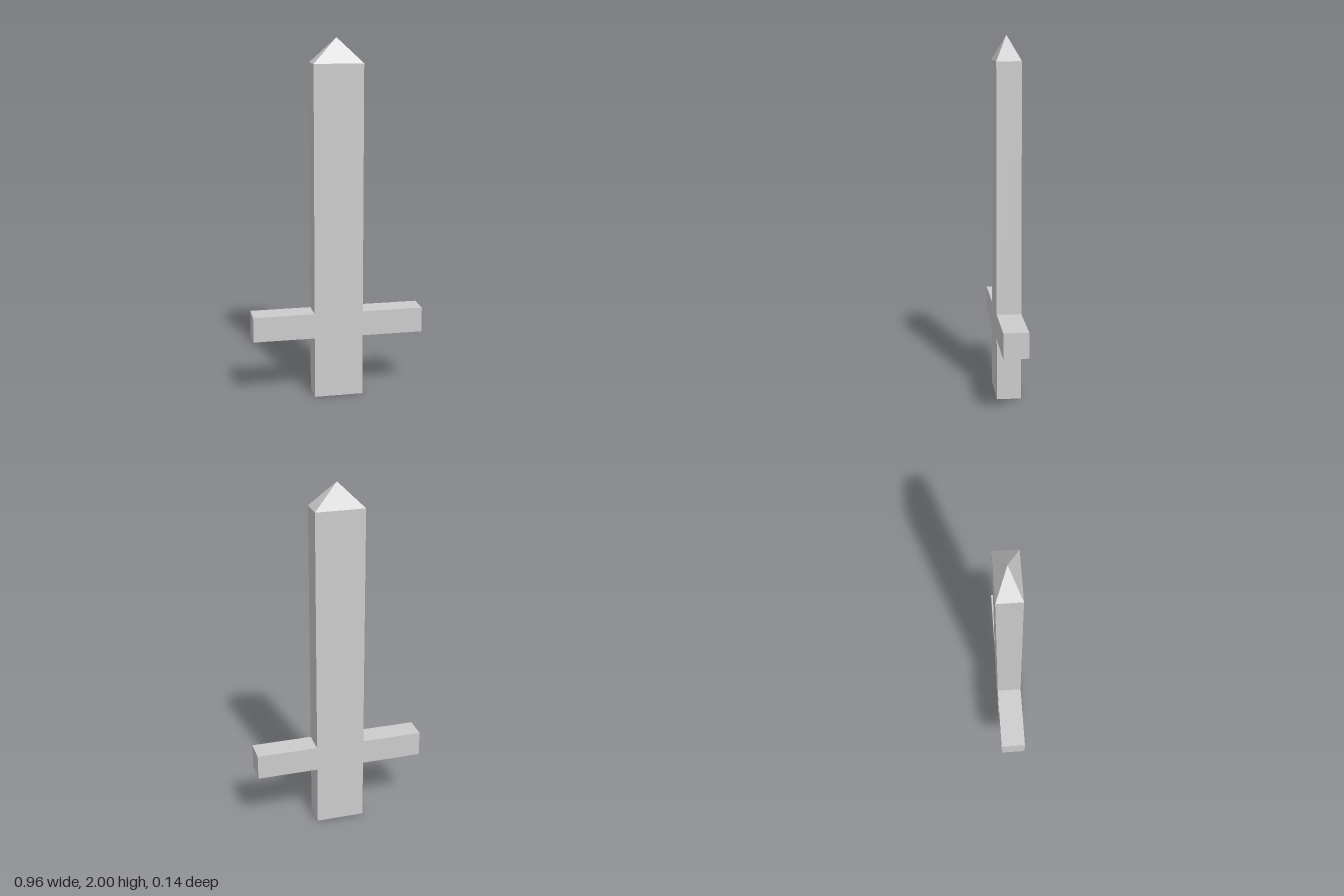
import * as THREE from 'three';

const HALF_WIDTH = 0.137, HALF_DEPTH = 0.068, HALF_GUARD = 0.48;
const GUARD_BOTTOM = 0.347, GUARD_TOP = 0.488, SHOULDER = 1.865, HEIGHT = 2;

export function createModel() {
  const group = new THREE.Group();
  group.name = 'sword';
  const steel = new THREE.MeshStandardMaterial({ color: 0xcccccc });
  steel.name = 'light grey';
  steel.flatShading = true;

  // Grip, crossguard and blade share one mirrored cross outline
  const right = [
    [HALF_WIDTH, 0], [HALF_WIDTH, GUARD_BOTTOM], [HALF_GUARD, GUARD_BOTTOM],
    [HALF_GUARD, GUARD_TOP], [HALF_WIDTH, GUARD_TOP], [HALF_WIDTH, SHOULDER],
  ];
  const left = right.map(([x, y]) => [-x, y]).reverse();
  const outline = new THREE.Shape([...right, ...left].map(([x, y]) => new THREE.Vector2(x, y)));
  const bodyGeometry = new THREE.ExtrudeGeometry(outline, { depth: 2 * HALF_DEPTH, bevelEnabled: false });
  bodyGeometry.translate(0, 0, -HALF_DEPTH);
  const body = new THREE.Mesh(bodyGeometry, steel);
  body.name = 'gripGuardAndBlade';
  group.add(body);

  // Four-sided pyramid point
  const tipGeometry = new THREE.ConeGeometry(Math.SQRT2, HEIGHT - SHOULDER, 4, 1, true);
  tipGeometry.rotateY(Math.PI / 4);
  tipGeometry.scale(HALF_WIDTH, 1, HALF_DEPTH);
  tipGeometry.translate(0, (HEIGHT + SHOULDER) / 2, 0);
  const tip = new THREE.Mesh(tipGeometry, steel);
  tip.name = 'bladeTip';
  group.add(tip);

  return group;
}
